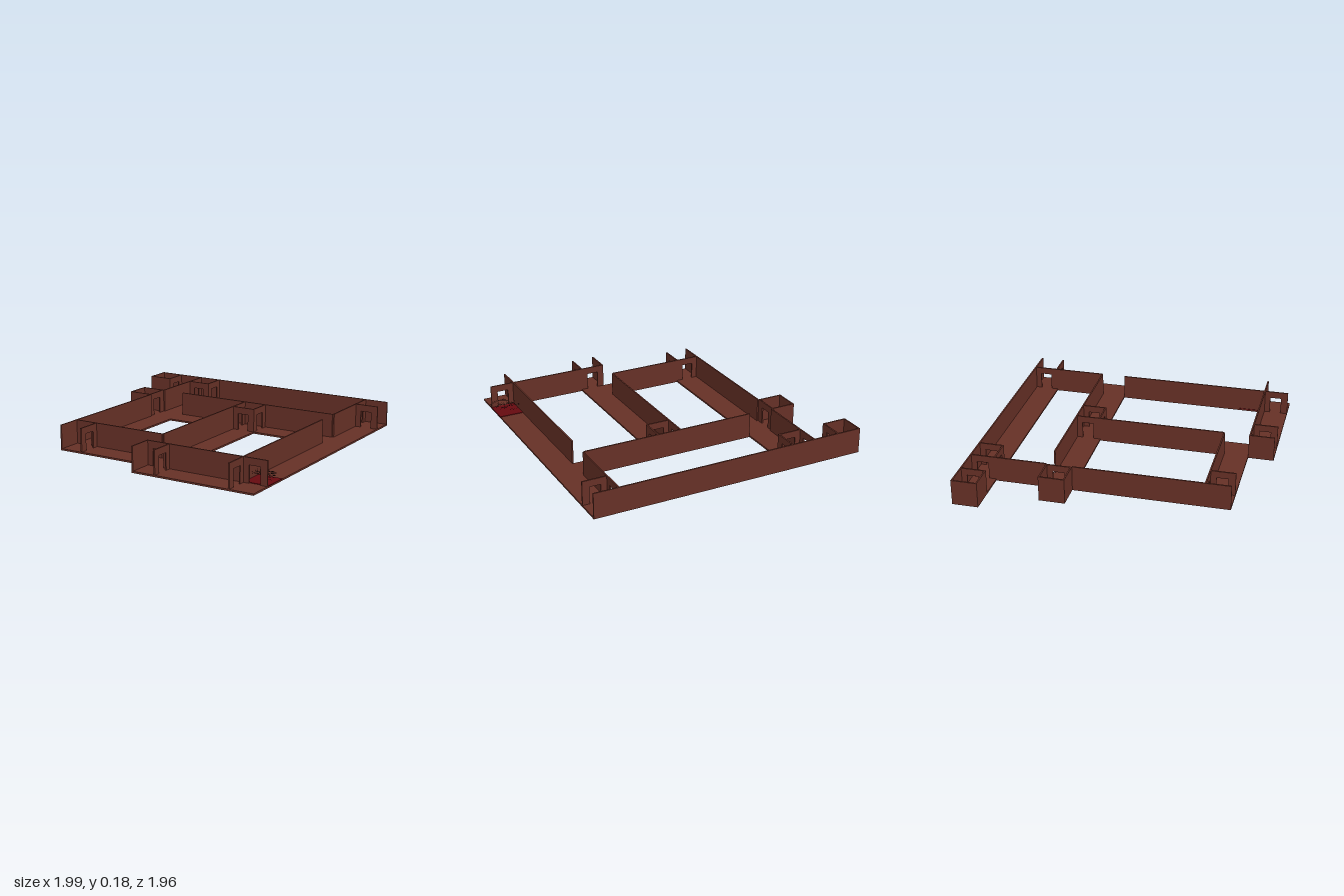
import * as THREE from 'three';

const CELL = 0.1786, X0 = -1, Z0 = -0.982;
const H = 0.178, FLOOR = 0.012, T = 0.01;
const DOOR_W = 0.08, DOOR_H = 0.13;
const X = i => X0 + i * CELL;
const Z = i => Z0 + i * CELL;

export function createModel() {
  const model = new THREE.Group();
  const stone = new THREE.MeshStandardMaterial({ color: 0x663026, flatShading: true });
  const red = new THREE.MeshStandardMaterial({ color: 0x660a10, flatShading: true });
  const dark = new THREE.MeshStandardMaterial({ color: 0x2a1210, flatShading: true });

  const add = (name, geometry, material = stone) => {
    const mesh = new THREE.Mesh(geometry, material);
    mesh.name = name;
    model.add(mesh);
    return mesh;
  };

  // Corridor floors, in grid cells: x from, x to, z from, z to
  const floors = [
    [0, 11, 0, 1], [2, 3, 1, 10], [1, 2, 3, 4], [3, 10, 3, 4],
    [6, 7, 4, 10], [3, 6, 9, 10], [10, 11, 1, 10], [6, 11, 10, 11],
  ];
  for (const [xa, xb, za, zb] of floors) {
    add('corridorFloor', new THREE.BoxGeometry((xb - xa) * CELL, FLOOR, (zb - za) * CELL))
      .position.set((X(xa) + X(xb)) / 2, FLOOR / 2, (Z(za) + Z(zb)) / 2);
  }

  // Upright panel on a grid line; side says on which side of the line it sits
  function panel(axis, line, from, to, side, door = false) {
    const len = (to - from) * CELL, mid = len / 2, w = DOOR_W / 2;
    const outline = [[0, 0]];
    if (door) outline.push([mid - w, 0], [mid - w, DOOR_H], [mid + w, DOOR_H], [mid + w, 0]);
    outline.push([len, 0], [len, H], [0, H]);
    const shape = new THREE.Shape(outline.map(p => new THREE.Vector2(...p)));
    const mesh = add(door ? 'doorway' : 'wall',
      new THREE.ExtrudeGeometry(shape, { depth: T, bevelEnabled: false }));
    if (axis === 'x') {
      mesh.position.set(X(from), 0, Z(line) - (side < 0 ? T : 0));
    } else {
      mesh.rotation.y = -Math.PI / 2;
      mesh.position.set(X(line) + (side > 0 ? T : 0), 0, Z(from));
    }
  }

  // Solid walls: axis they run along, grid line, from, to, side
  const walls = [
    ['x', 0, 0, 11, 1], ['z', 0, 0, 1, 1], ['x', 1, 0, 1, -1],
    ['z', 2, 1, 3, 1], ['z', 2, 4, 10, 1],
    ['z', 1, 3, 4, 1], ['x', 3, 1, 2, 1], ['x', 4, 1, 2, -1],
    ['x', 3, 3, 10, 1],
    ['z', 6, 4, 9, 1], ['x', 9, 3, 6, 1],
    ['z', 10, 1, 3, 1], ['z', 10, 4, 10, 1],
    ['z', 6, 10, 11, 1], ['x', 10, 7, 10, 1],
  ];
  for (const wall of walls) panel(...wall);

  // Doorways around the junction cells
  const doors = [
    ['z', 1, 0, 1, -1], ['z', 2, 0, 1, 1], ['z', 3, 0, 1, -1], ['x', 1, 2, 3, -1],
    ['z', 10, 0, 1, 1], ['x', 1, 10, 11, -1],
    ['z', 2, 3, 4, -1],
    ['z', 6, 3, 4, 1], ['z', 7, 3, 4, -1], ['x', 4, 6, 7, -1],
    ['x', 9, 2, 3, 1], ['z', 3, 9, 10, -1],
    ['x', 10, 6, 7, 1], ['z', 7, 10, 11, -1],
    ['x', 10, 10, 11, 1], ['z', 10, 10, 11, 1],
  ];
  for (const door of doors) panel(...door, true);

  // Red floor patch at the end of the right corridor
  const px = X(10.5), pz = Z(9.5);
  add('redPatch', new THREE.BoxGeometry(CELL + 0.008, 0.004, CELL), red)
    .position.set(px, FLOOR + 0.002, pz);

  // Loose thin needles scattered above the patch
  let seed = 7;
  const rand = () => (seed = (seed * 16807) % 2147483647) / 2147483647;
  const needle = new THREE.ConeGeometry(0.0015, 1, 3);
  for (let i = 0; i < 26; i++) {
    const mesh = add('needle', needle, dark);
    const len = 0.05 + 0.09 * rand();
    mesh.scale.y = len;
    mesh.position.set(px + (rand() - 0.5) * 0.14, 0.045 + 0.03 * rand(), pz + (rand() - 0.5) * 0.14);
    mesh.rotation.set(0, (rand() - 0.5) * 1.2, Math.PI / 2 + (rand() - 0.5) * 0.2);
  }
  return model;
}
